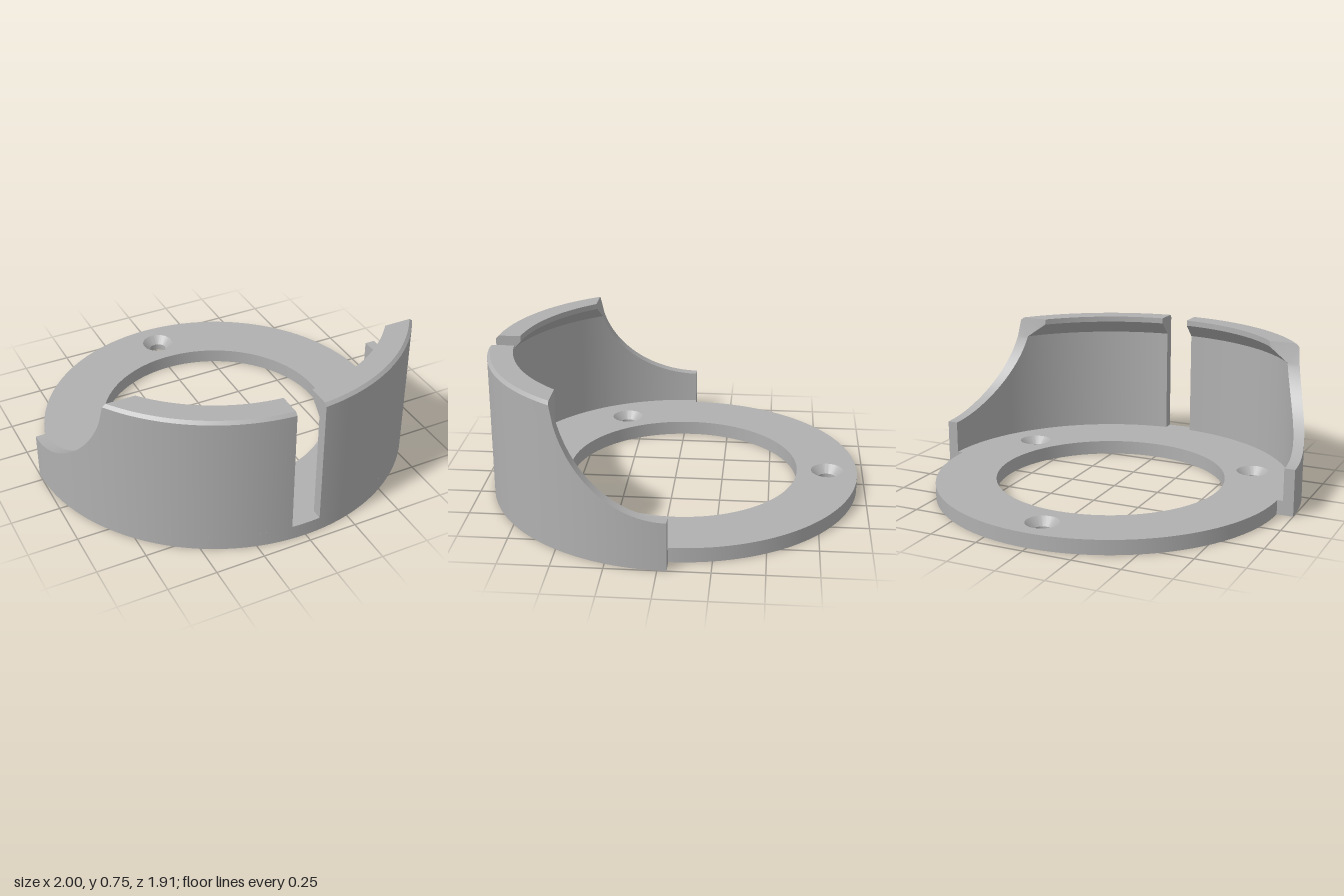
import * as THREE from 'three';
import { toCreasedNormals } from 'three/addons/utils/BufferGeometryUtils.js';

const BASE = 0.075;              // base plate thickness
const SLOT = 0.075;              // half width of the front slot
const CUT_R = 0.555, CUT_Y = 0.8; // side scoop: a circle running along x
const OUT = 1, IN = 0.945, LIP_Y = 0.645;

// depth of the scoop's edge at height y
const cutDepth = (y) => Math.sqrt(CUT_R ** 2 - (CUT_Y - y) ** 2);
// point of the wall at radius r, depth d and height y
const onRing = (r, d, y, side) => [side * Math.sqrt(Math.max(0, r * r - d * d)), y, d];

function wallGeometry(side) {
  const pos = [];
  const tri = (a, b, c) => (side > 0 ? pos.push(...a, ...b, ...c) : pos.push(...a, ...c, ...b));
  const skin = (rows) => {
    for (let i = 0; i < rows.length - 1; i++) {
      for (let j = 0; j < rows[i].length - 1; j++) {
        const a = rows[i][j], b = rows[i][j + 1], c = rows[i + 1][j + 1], d = rows[i + 1][j];
        tri(a, b, c);
        tri(a, c, d);
      }
    }
  };
  const cap = (loop, hub) => {
    const n = loop.length;
    for (let k = 1; k < n - 1; k++) tri(loop[hub], loop[(hub + k) % n], loop[(hub + k + 1) % n]);
  };

  // scooped side, rising along the circle
  const rise = Math.asin(cutDepth(LIP_Y) / CUT_R);
  const low = [];
  for (let i = 0; i <= 40; i++) {
    const a = (rise * i) / 40;
    const d = CUT_R * Math.sin(a), top = CUT_Y - CUT_R * Math.cos(a);
    low.push([[OUT, BASE], [OUT, top], [IN, top], [IN, BASE]].map(([r, y]) => onRing(r, d, y, side)));
  }
  skin(low);
  cap([...low[0]].reverse(), 0);

  // full-height front with chamfered rim and inward lip
  const profile = [[OUT, BASE], [OUT, LIP_Y], [OUT, 0.735], [0.985, 0.75],
    [0.87, 0.75], [0.87, 0.72], [IN, LIP_Y], [IN, BASE]];
  const high = [];
  for (let i = 0; i <= 40; i++) {
    high.push(profile.map(([r, y]) => {
      const from = Math.asin(cutDepth(Math.max(y, LIP_Y)) / r);
      const to = Math.acos(SLOT / r);
      const a = from + ((to - from) * i) / 40;
      return [side * r * Math.cos(a), y, r * Math.sin(a)];
    }));
  }
  skin(high);
  cap(high[0].slice(1, 7).reverse(), 0);
  cap(high[40], 6);

  const geo = new THREE.BufferGeometry();
  geo.setAttribute('position', new THREE.Float32BufferAttribute(pos, 3));
  return toCreasedNormals(geo, 0.5);
}

export function createModel() {
  const model = new THREE.Group();
  model.name = 'slottedRingMount';
  const grey = new THREE.MeshStandardMaterial({ color: 0xb0b0b0 });
  grey.name = 'grey';
  const add = (name, geo) => {
    const mesh = new THREE.Mesh(geo, grey);
    mesh.name = name;
    mesh.position.z = -0.045;
    model.add(mesh);
    return mesh;
  };

  // base ring: wider in front, with the bore and three screw holes
  const screws = [0, 1, 2].map((i) => {
    const a = Math.PI / 2 + (i * Math.PI * 2) / 3;
    return [0.76 * Math.cos(a), 0.76 * Math.sin(a)];
  });
  const ring = new THREE.Shape();
  ring.moveTo(0.915, 0);
  ring.absarc(0, 0, 0.915, 0, Math.PI, false);
  ring.lineTo(-OUT, 0);
  ring.absarc(0, 0, OUT, Math.PI, Math.PI * 2, false);
  ring.closePath();
  for (const [x, y, r] of [[0, 0, 0.6], ...screws.map((s) => [...s, 0.085])]) {
    ring.holes.push(new THREE.Path().absarc(x, y, r, 0, Math.PI * 2, true));
  }
  const base = new THREE.ExtrudeGeometry(ring, { depth: BASE, bevelEnabled: false, curveSegments: 80 });
  base.rotateX(-Math.PI / 2);
  add('baseRing', toCreasedNormals(base, 0.5));

  // countersunk seats lining the screw holes
  const seat = [[0.085, BASE], [0.045, 0.035], [0.045, 0], [0.085, 0]].map((p) => new THREE.Vector2(...p));
  screws.forEach(([x, y], i) => {
    const geo = toCreasedNormals(new THREE.LatheGeometry(seat, 80), 0.5);
    const mesh = add('screwSeat' + (i + 1), geo);
    mesh.position.x = x;
    mesh.position.z -= y;
  });

  // mirrored curved walls either side of the slot
  add('leftWall', wallGeometry(1));
  add('rightWall', wallGeometry(-1));
  return model;
}
